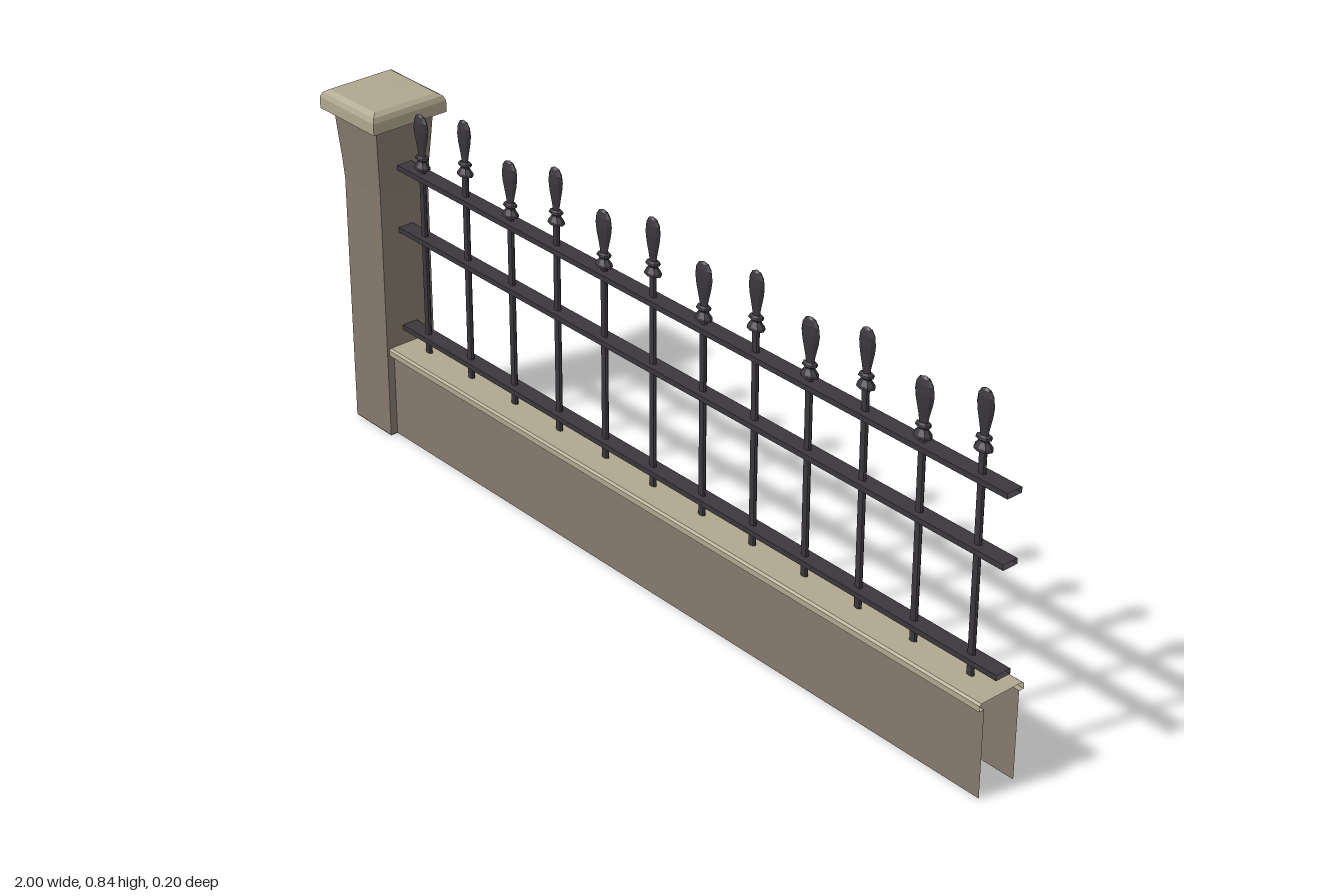
import * as THREE from 'three';

const mat = (name, color, double) => {
  const m = new THREE.MeshStandardMaterial({ color });
  m.name = name;
  if (double) m.side = THREE.DoubleSide; // open sheets
  return m;
};

// Faceted solid of revolution; points are [radius, y] from bottom to top
function turned(points, sides, phase = 0) {
  const pts = points.map(([r, y]) => new THREE.Vector2(r, y));
  const g = new THREE.LatheGeometry(pts, sides, phase).toNonIndexed();
  g.computeVertexNormals();
  return g;
}

// Square shaft; points are [half width, y]
const square = (points) =>
  turned(points.map(([h, y]) => [h * Math.SQRT2, y]), 4, Math.PI / 4);

// Open-ended sheet: profile of [z, y] points swept along x
function sweep(profile, x0, x1) {
  const pos = [];
  for (let i = 0; i < profile.length - 1; i++) {
    const [za, ya] = profile[i], [zb, yb] = profile[i + 1];
    pos.push(x0, ya, za, x1, ya, za, x1, yb, zb, x0, ya, za, x1, yb, zb, x0, yb, zb);
  }
  const g = new THREE.BufferGeometry();
  g.setAttribute('position', new THREE.Float32BufferAttribute(pos, 3));
  g.computeVertexNormals();
  return g;
}

export function createModel() {
  const root = new THREE.Group();
  root.name = 'fenceSection';
  const stone = mat('stone', 0x857a6e, true);
  const capStone = mat('capStone', 0xb0a78e, true);
  const iron = mat('iron', 0x3b373d, true);

  const add = (name, geometry, material, parent = root) => {
    const m = new THREE.Mesh(geometry, material);
    m.name = name;
    parent.add(m);
    return m;
  };

  // Pillar with flared top, cap and dark foot
  const pillar = new THREE.Group();
  pillar.name = 'pillar';
  pillar.position.x = -0.902;
  root.add(pillar);
  add('pillarShaft', square([[0.065, 0.001], [0.065, 0.6], [0.068, 0.65], [0.072, 0.7], [0.077, 0.767]]), stone, pillar);
  add('pillarCap', square([[0, 0.766], [0.098, 0.766], [0.098, 0.793], [0.093, 0.804], [0.082, 0.811], [0, 0.812]]), capStone, pillar);
  const foot = add('pillarFoot', new THREE.PlaneGeometry(0.13, 0.13), iron, pillar);
  foot.rotation.x = Math.PI / 2;

  // Low hollow wall, open at the ends and underneath
  add('wallFront', sweep([[0.047, 0], [0.047, 0.205]], -0.845, 1), stone);
  add('wallBack', sweep([[-0.047, 0.205], [-0.047, 0]], -0.845, 1), stone);
  add('coping', sweep([[0.047, 0.204], [0.06, 0.204], [0.06, 0.217], [0.055, 0.221],
    [-0.055, 0.221], [-0.06, 0.217], [-0.06, 0.204], [-0.047, 0.204]], -0.845, 1), capStone);

  // Flat horizontal rails
  for (const y of [0.262, 0.505, 0.657]) {
    const a = y - 0.006, b = y + 0.006, h = 0.019;
    add('rail', sweep([[h, a], [h, b], [-h, b], [-h, a], [h, a]], -0.845, 1), iron);
  }

  // Uprights with collars and flattened spear heads, alternating in height
  const collar = turned([[0.009, -0.006], [0.022, -0.003], [0.021, 0.003], [0.012, 0.014],
    [0.012, 0.017], [0.019, 0.021], [0.017, 0.025], [0.009, 0.028]], 8);
  collar.scale(1, 1, 0.68);
  const spear = turned([[0.010, 0.024], [0.013, 0.04], [0.021, 0.072], [0.0235, 0.09],
    [0.021, 0.108], [0.013, 0.12], [0, 0.125]], 8);
  spear.scale(1, 1, 0.37);
  for (let i = 0; i < 12; i++) {
    const top = i % 2 ? 0.716 : 0.676;
    const upright = new THREE.Group();
    upright.name = 'upright';
    upright.position.x = -0.767 + i * 0.1531;
    root.add(upright);
    const bar = add('bar', turned([[0.0095, 0.217], [0.0095, top]], 8), iron, upright);
    bar.scale.z = 0.6;
    add('collar', collar, iron, upright).position.y = top;
    const head = add('spearHead', spear, iron, upright);
    head.position.y = top;
    head.scale.x = i % 2 ? 0.95 : 1.08;
  }
  return root;
}
